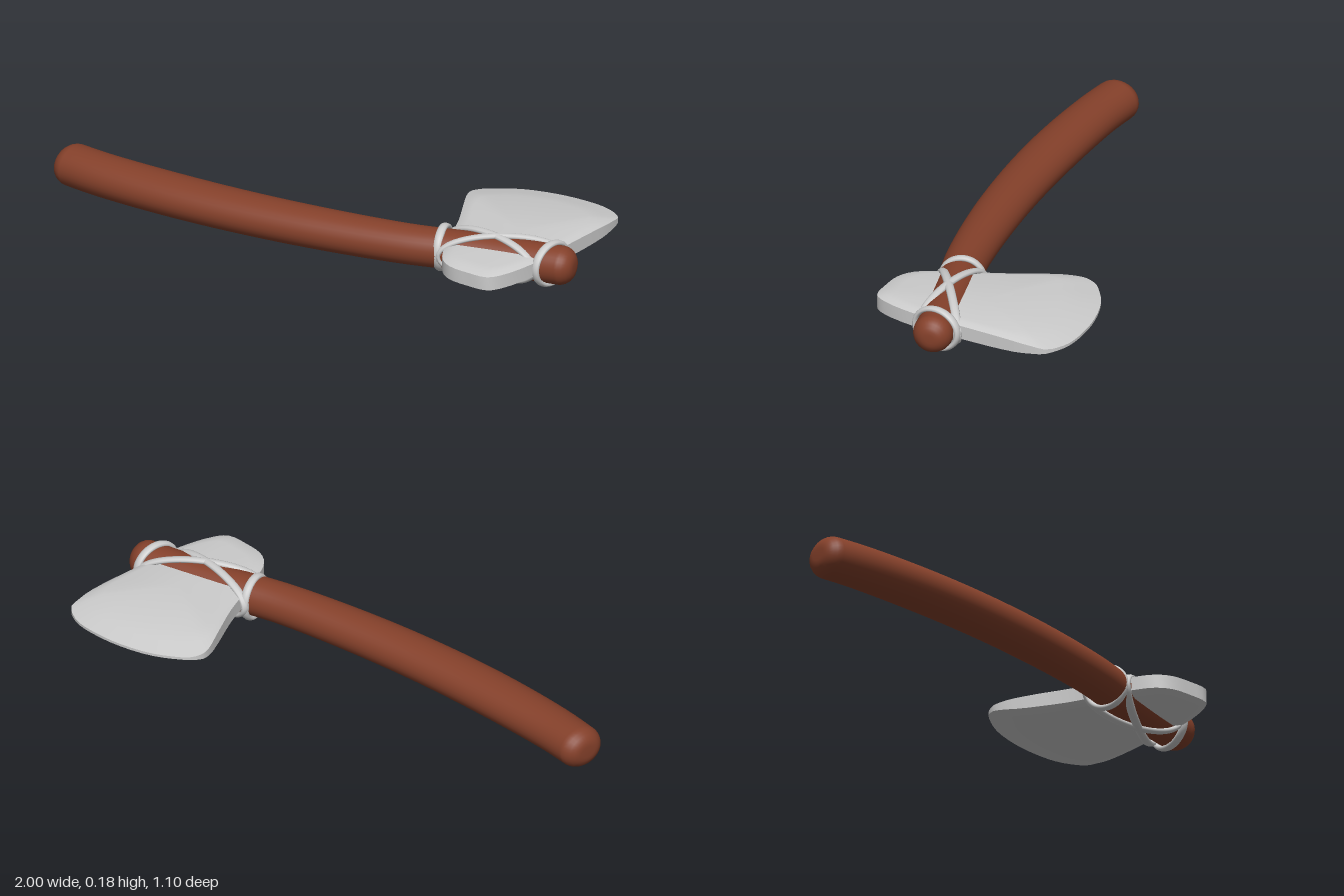
import * as THREE from 'three';
import { mergeVertices, toCreasedNormals } from 'three/addons/utils/BufferGeometryUtils.js';

const V = (x, y, z) => new THREE.Vector3(x, y, z);

// Skin a list of equal-length closed rings; the first and last rings collapse to points
function loft(rings) {
  const n = rings[0].length, pos = [], index = [];
  rings.forEach(r => r.forEach(p => pos.push(p.x, p.y, p.z)));
  for (let i = 0; i < rings.length - 1; i++) {
    for (let j = 0; j < n; j++) {
      const k = (j + 1) % n;
      const a = i * n + j, b = i * n + k, c = a + n, d = b + n;
      if (i > 0) index.push(a, b, c);
      if (i < rings.length - 2) index.push(b, d, c);
      else if (i === 0) index.push(b, d, c);
    }
  }
  const g = new THREE.BufferGeometry();
  g.setAttribute('position', new THREE.Float32BufferAttribute(pos, 3));
  g.setIndex(index);
  const merged = mergeVertices(g, 1e-5);
  merged.computeVertexNormals();
  return merged;
}

// Curved shaft: slightly oval sections along a bent path, with rounded ends
function handleGeometry() {
  const path = new THREE.CatmullRomCurve3([
    V(-1, 0.078, 0.463), V(-0.8, 0.08, 0.45), V(-0.4, 0.085, 0.383), V(0, 0.09, 0.28),
    V(0.4, 0.095, 0.138), V(0.6, 0.098, 0.04), V(0.8, 0.1, -0.05), V(0.987, 0.102, -0.125),
  ]);
  const length = path.getLength(), corner = 0.055, sides = 32;
  const widths = new THREE.CatmullRomCurve3([
    V(0.086, 0, 0), V(0.095, 0, 0), V(0.089, 0, 0), V(0.077, 0, 0), V(0.072, 0, 0)]);
  const caps = [0, 0.03, 0.12, 0.3, 0.55, 0.8, 1].map(f => f * corner / length);
  const stops = [...caps];
  for (let i = 1; i < 40; i++) stops.push(THREE.MathUtils.lerp(caps[6], 1 - caps[6], i / 40));
  stops.push(...caps.map(c => 1 - c).reverse());
  const ring = (u, closed) => {
    const c = path.getPointAt(u), t = path.getTangentAt(u);
    const side = V(-t.z, 0, t.x).normalize();
    const d = Math.min(u, 1 - u) * length;
    const inset = d < corner ? corner - Math.sqrt(Math.max(0, corner ** 2 - (corner - d) ** 2)) : 0;
    const rw = closed ? 0 : widths.getPoint(u).x - inset;
    const rh = closed ? 0 : 0.077 - 0.006 * u - inset;
    return Array.from({ length: sides }, (_, j) => {
      const a = -j / sides * Math.PI * 2;
      return c.clone().addScaledVector(side, Math.cos(a) * rw).add(V(0, Math.sin(a) * rh, 0));
    });
  };
  return loft([ring(0, true), ...stops.map(u => ring(u, false)), ring(1, true)]);
}

// Stone head: outline in x/z; the middle value is 1 along the thin cutting edge
function bladeGeometry() {
  const outline = new THREE.CatmullRomCurve3([
    V(0.29, 0.8, -0.335), V(0.32, 1, -0.39), V(0.40, 1, -0.46), V(0.52, 1, -0.518),
    V(0.63, 1, -0.547), V(0.72, 1, -0.556), V(0.80, 0.9, -0.535), V(0.84, 0.5, -0.47),
    V(0.862, 0.1, -0.35), V(0.88, 0, -0.18), V(0.9, 0, 0), V(0.886, 0, 0.15),
    V(0.86, 0, 0.2), V(0.78, 0, 0.22), V(0.70, 0, 0.225), V(0.64, 0, 0.2),
    V(0.58, 0, 0.13), V(0.5, 0, 0), V(0.45, 0, -0.08), V(0.36, 0.1, -0.2), V(0.3, 0.5, -0.285),
  ], true).getPoints(63).slice(0, 63);
  const cx = 0.68, cy = 0.105, cz = -0.15;
  const ring = (rule) => outline.map(p => {
    const s = THREE.MathUtils.clamp(p.y, 0, 1);
    const [inset, h] = rule(s);
    return V(THREE.MathUtils.lerp(p.x, cx, inset), cy + h, THREE.MathUtils.lerp(p.z, cz, inset));
  });
  const rim = s => [0, 0.026 - 0.021 * s];
  const bevel = s => [0.08 + 0.08 * s, 0.036 - 0.014 * s];
  const flat = s => [0.17 + 0.16 * s, 0.04];
  const down = f => s => { const [i, h] = f(s); return [i, -h]; };
  const centre = () => [1, 0.041];
  const g = loft([centre, flat, bevel, rim, down(rim), down(bevel), down(flat), down(centre)].map(ring));
  return toCreasedNormals(g, 0.45);
}

// Flat lashing: an upright oval loop between two points of the plan
function lashing(name, x0, z0, x1, z1, cy, ry, material) {
  class Oval extends THREE.Curve {
    getPoint(t, target = V(0, 0, 0)) {
      const a = t * Math.PI * 2;
      return target.set(Math.cos(a) * Math.hypot(x1 - x0, z1 - z0) / 2, Math.sin(a) * ry, 0);
    }
  }
  const g = new THREE.TubeGeometry(new Oval(), 72, 0.01, 10, true);
  g.scale(1, 1, 1.65);
  const mesh = new THREE.Mesh(g, material);
  mesh.name = name;
  mesh.position.set((x0 + x1) / 2, cy, (z0 + z1) / 2);
  mesh.rotation.y = -Math.atan2(z1 - z0, x1 - x0);
  return mesh;
}

export function createModel() {
  const group = new THREE.Group();
  group.name = 'stoneAxe';
  const wood = new THREE.MeshStandardMaterial({ color: 0x84402a });
  const grey = new THREE.MeshStandardMaterial({ color: 0xcccccc });

  const handle = new THREE.Mesh(handleGeometry(), wood);
  handle.name = 'handle';
  const blade = new THREE.Mesh(bladeGeometry(), grey);
  blade.name = 'blade';
  group.add(handle, blade);

  // Two rings around the shaft and two loops crossing over the head
  group.add(
    lashing('lowerRing', 0.482, 0, 0.553, 0.14, 0.097, 0.078, grey),
    lashing('upperRing', 0.893, -0.182, 0.905, -0.004, 0.101, 0.076, grey),
    lashing('straightStrap', 0.475, 0, 0.893, -0.012, 0.096, 0.081, grey),
    lashing('diagonalStrap', 0.557, 0.138, 0.89, -0.18, 0.096, 0.081, grey),
  );
  return group;
}
